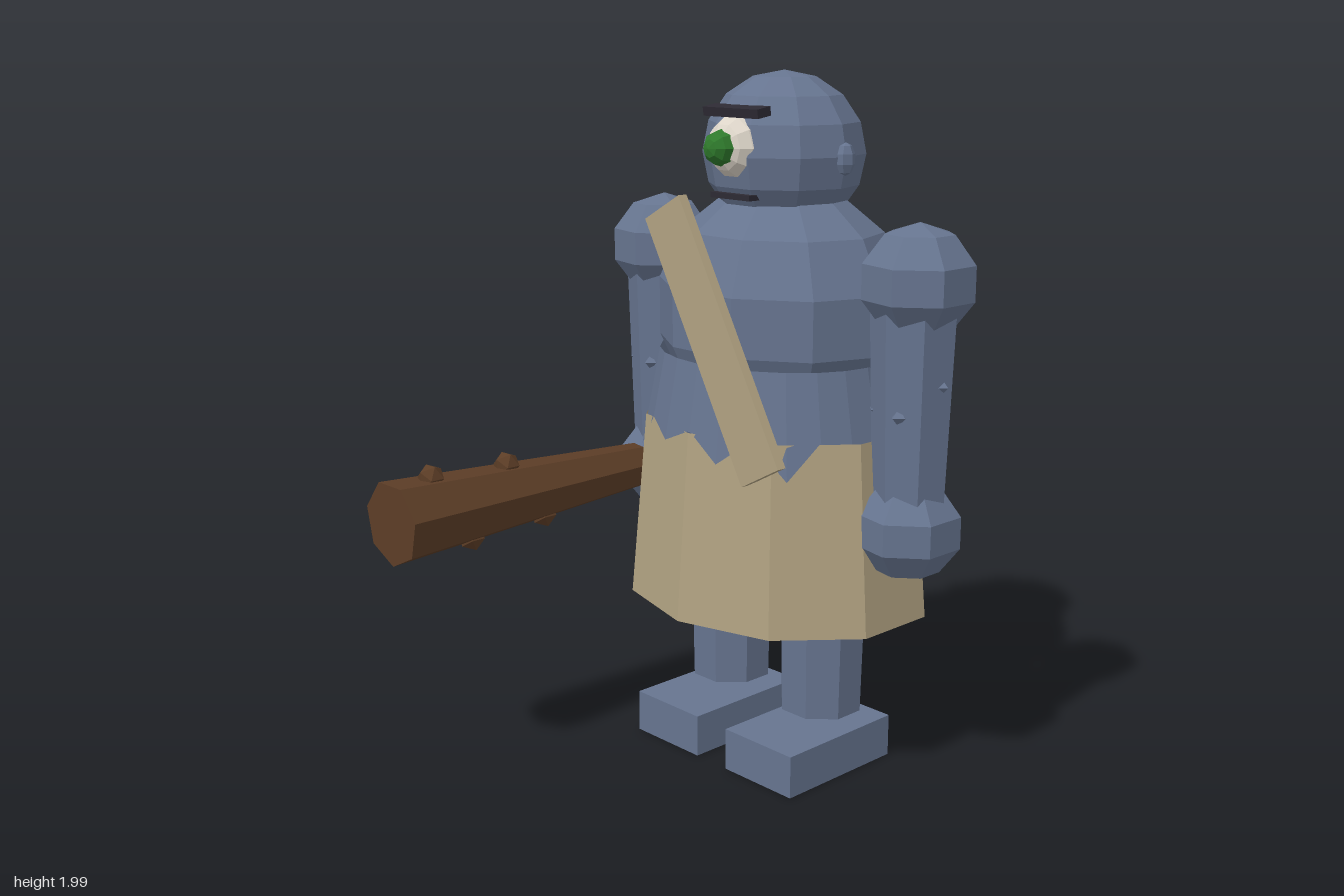
import * as THREE from 'three';

const mat = (name, color, extra = {}) => {
  const m = new THREE.MeshStandardMaterial({ color, ...extra });
  m.name = name;
  return m;
};

export function createModel() {
  const model = new THREE.Group();
  const skin = mat('skin', 0x66748f);
  const cloth = mat('cloth', 0xb0a181, { side: THREE.DoubleSide });
  const wood = mat('wood', 0x5c3d26);
  const white = mat('eyeWhite', 0xdcd4c8);
  const green = mat('irisGreen', 0x2f7a2c);
  const dark = mat('dark', 0x2d2a33);
  const rag = mat('skinFold', 0x66748f, { side: THREE.DoubleSide });
  const CZ = -0.305; // body axis

  // Faceted mesh at a position
  const add = (name, geo, material, x, y, z) => {
    const g = geo.index ? geo.toNonIndexed() : geo;
    g.computeVertexNormals();
    const m = new THREE.Mesh(g, material);
    m.name = name;
    m.position.set(x, y, z);
    model.add(m);
    return m;
  };
  const ball = (rx, ry, rz, w, h) => new THREE.SphereGeometry(1, w, h).scale(rx, ry, rz);

  // Torso and head
  add('torso', ball(0.385, 0.37, 0.34, 10, 7), skin, 0, 1.33, CZ);
  add('pelvis', ball(0.34, 0.26, 0.29, 10, 6), skin, 0, 1.0, CZ);
  add('head', ball(0.235, 0.225, 0.225, 10, 8), skin, 0, 1.775, CZ);

  // Face
  add('eyeball', ball(0.09, 0.09, 0.09, 10, 8).rotateX(Math.PI / 2), white, 0, 1.8, -0.135);
  add('iris', ball(0.05, 0.05, 0.05, 8, 6).rotateX(Math.PI / 2), green, 0, 1.8, -0.063);
  add('brow', new THREE.BoxGeometry(0.21, 0.025, 0.05), dark, 0, 1.895, -0.12).rotation.x = 0.15;
  add('mouth', new THREE.BoxGeometry(0.15, 0.015, 0.04), dark, 0, 1.667, -0.115);

  // Ragged fold over the waist: ring with a zigzag hem at the front
  const N = 24, pos = [], idx = [];
  for (let i = 0; i <= N; i++) {
    const a = (i / N) * Math.PI * 2, s = Math.sin(a), c = Math.cos(a);
    const low = c > -0.1 ? (i % 2 ? 0.93 + 0.03 * (i % 3) : 1.035) : 1.0;
    const t = (1.22 - low) / 0.27;
    pos.push(0.355 * s, 1.22, 0.3 * c, (0.355 + 0.055 * t) * s, low, (0.3 + 0.045 * t) * c);
    if (i < N) {
      const k = i * 2;
      idx.push(k, k + 1, k + 3, k, k + 3, k + 2);
    }
  }
  const fold = new THREE.BufferGeometry();
  fold.setAttribute('position', new THREE.Float32BufferAttribute(pos, 3));
  fold.setIndex(idx);
  add('waistFold', fold, rag, 0, 0, -0.275);

  // Skirt and shoulder strap
  const skirt = new THREE.CylinderGeometry(0.43, 0.48, 0.54, 10, 1, true).scale(1, 1, 0.85);
  add('skirt', skirt, cloth, 0, 0.76, CZ);
  add('strap', new THREE.BoxGeometry(0.155, 0.79, 0.03), cloth, 0.065, 1.293, 0.025).rotation.z = 0.507;

  // Limbs on both sides
  for (const [side, s] of [['left', 1], ['right', -1]]) {
    add(side + 'Ear', ball(0.026, 0.045, 0.03, 6, 5), skin, s * 0.232, 1.77, CZ);
    add(side + 'Shoulder', ball(0.16, 0.155, 0.16, 7, 5), skin, s * 0.497, 1.47, CZ);
    add(side + 'Arm', new THREE.CylinderGeometry(0.122, 0.1, 0.65, 7), skin, s * 0.49, 1.125, CZ);
    add(side + 'Hand', ball(0.15, 0.145, 0.155, 7, 5), skin, s * 0.49, 0.79, CZ);
    add(side + 'Leg', new THREE.CylinderGeometry(0.138, 0.122, 0.77, 8).rotateY(Math.PI / 8), skin, s * 0.187, 0.565, -0.295);
    add(side + 'Foot', new THREE.BoxGeometry(0.26, 0.125, 0.42), skin, s * 0.19, 0.076, -0.24);
    // Small warts on arms and legs
    for (let i = 0; i < 5; i++) {
      const a = i * 1.257 + 0.3;
      const wart = () => new THREE.OctahedronGeometry(0.024);
      add(side + 'ArmWart', wart(), skin, s * 0.49 + 0.095 * Math.sin(a), 1.12 + 0.08 * (i % 2), CZ + 0.095 * Math.cos(a));
      add(side + 'LegWart', wart(), skin, s * 0.187 + 0.11 * Math.sin(a), 0.47, -0.295 + 0.11 * Math.cos(a));
    }
  }

  // Club held forward in the right hand
  const cx = -0.49, cy = 0.795;
  add('club', new THREE.CylinderGeometry(0.122, 0.052, 1.2, 7).rotateX(Math.PI / 2), wood, cx, cy, 0.115);
  add('clubPommel', new THREE.IcosahedronGeometry(0.055), wood, cx, cy, -0.46);
  for (const [z, dy] of [[0.58, 0.107], [0.32, 0.095], [0.45, -0.095], [0.19, -0.08]])
    add('clubStud', new THREE.IcosahedronGeometry(0.04), wood, cx, cy + dy, z);

  return model;
}
